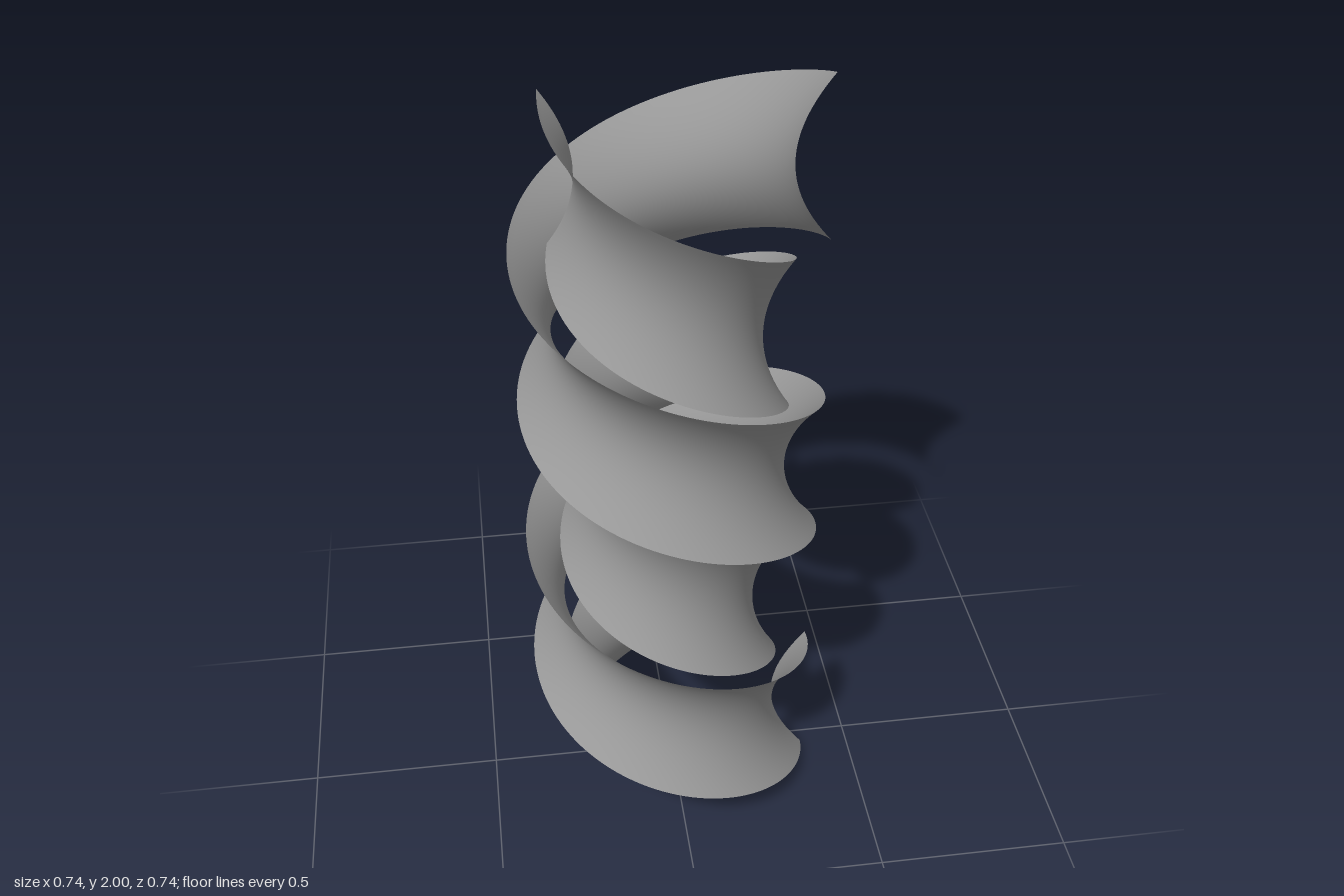
import * as THREE from 'three';

const deg = Math.PI / 180;
const BAND = 0.39;          // height of each band
const RISE = 1.61;          // climb of each band from end to end

// Helical sheet whose cross-section bulges towards the axis.
// startAngle is measured at the lower edge; the upper edge lags by tilt.
function helicalBand(name, edgeR, waistR, startAngle, sweep, tilt) {
  const geometry = new THREE.PlaneGeometry(1, 1, 240, 28);
  const pos = geometry.attributes.position;
  for (let i = 0; i < pos.count; i++) {
    const t = pos.getX(i) + 0.5;                 // along the helix
    const s = pos.getY(i) * 2;                   // across the band, -1 to 1
    const across = (s + 1) / 2;
    const r = waistR + (edgeR - waistR) * s * s;
    const a = (startAngle + sweep * t - tilt * across) * deg;
    pos.setXYZ(i, r * Math.cos(a), BAND * across + RISE * t, r * Math.sin(a));
  }
  geometry.computeVertexNormals();

  const mesh = new THREE.Mesh(geometry, new THREE.MeshStandardMaterial({
    color: 0x999999, side: THREE.DoubleSide,
  }));
  mesh.name = name;
  return mesh;
}

export function createModel() {
  const model = new THREE.Group();
  model.name = 'doubleHelix';
  // wide band, and the narrower one wound half a turn away
  model.add(helicalBand('outerBand', 0.371, 0.281, 6, 714, 6));
  model.add(helicalBand('innerBand', 0.285, 0.216, 201, 713.5, 7));
  return model;
}
